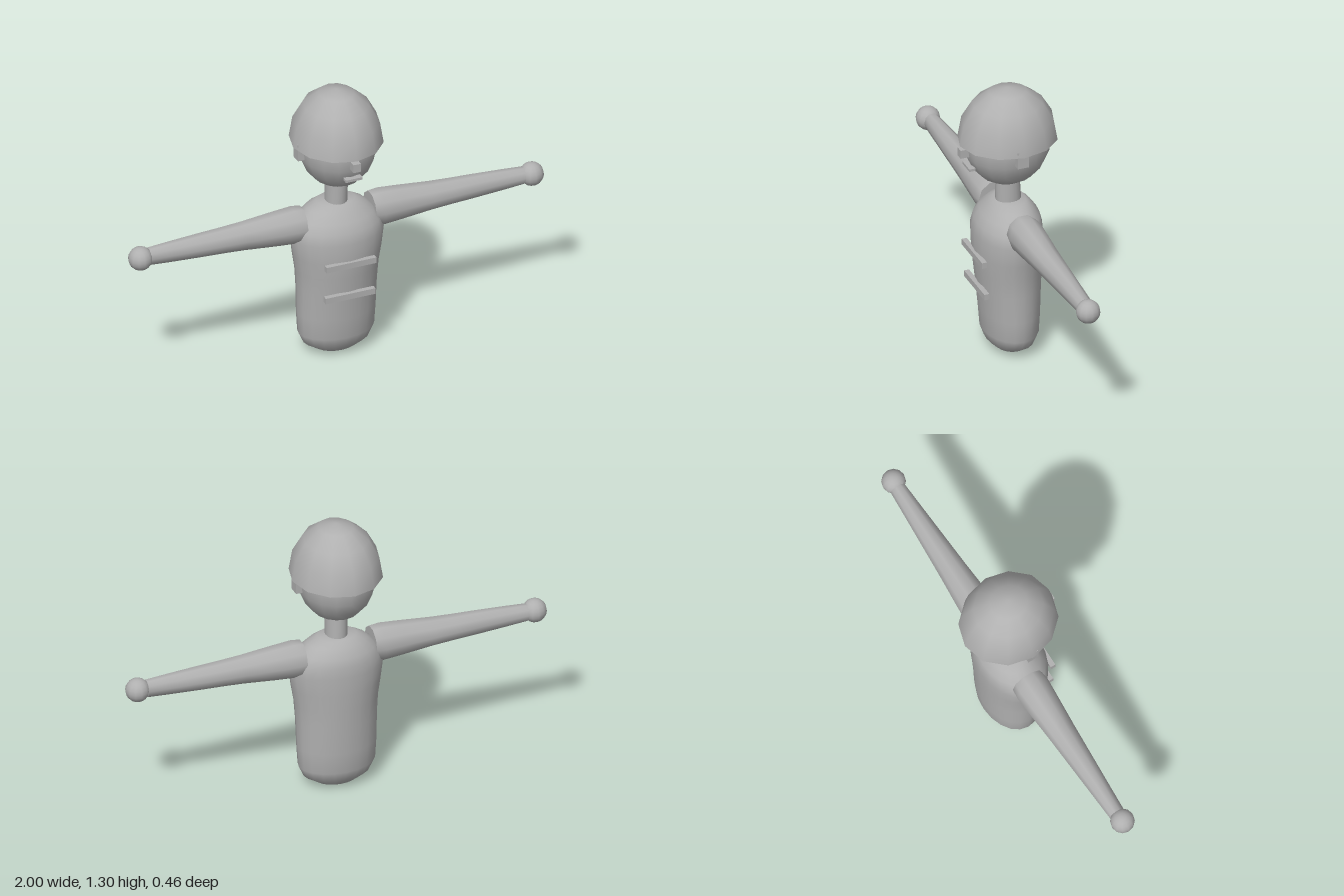
import * as THREE from 'three';

const skin = new THREE.MeshStandardMaterial({ color: 0xb0b0b0 });
skin.name = 'plain grey';

// Smooth tube along y through elliptical rings [y, rx, rz, zCentre]; a repeated ring makes a crease
function loft(rings, sides) {
  const pos = [], index = [];
  rings.forEach(([y, rx, rz, zc = 0]) => {
    for (let i = 0; i < sides; i++) {
      const a = (i / sides) * Math.PI * 2;
      pos.push(Math.sin(a) * rx, y, Math.cos(a) * rz + zc);
    }
  });
  for (let r = 0; r < rings.length - 1; r++) {
    if (rings[r].every((v, k) => v === rings[r + 1][k])) continue;
    for (let i = 0; i < sides; i++) {
      const j = (i + 1) % sides, a = r * sides, b = a + sides;
      if (rings[r][1] > 0) index.push(a + i, a + j, b + j);
      if (rings[r + 1][1] > 0) index.push(a + i, b + j, b + i);
    }
  }
  const g = new THREE.BufferGeometry();
  g.setAttribute('position', new THREE.Float32BufferAttribute(pos, 3));
  g.setIndex(index);
  g.computeVertexNormals();
  // pole points share the axis direction
  rings.forEach(([, rx], r) => {
    if (rx > 0) return;
    for (let i = 0; i < sides; i++) g.attributes.normal.setXYZ(r * sides + i, 0, r === 0 ? -1 : 1, 0);
  });
  return g;
}

export function createModel() {
  const model = new THREE.Group();
  model.name = 'figure';

  const add = (name, geometry, x = 0, y = 0, z = 0) => {
    const mesh = new THREE.Mesh(geometry, skin);
    mesh.name = name;
    mesh.position.set(x, y, z);
    model.add(mesh);
    return mesh;
  };
  const box = (name, w, h, d, x, y, z) => add(name, new THREE.BoxGeometry(w, h, d), x, y, z);

  // Torso, rounded below and at the shoulders
  add('torso', loft([
    [0, 0, 0, -0.005], [0.002, 0.05, 0.03, -0.005], [0.012, 0.095, 0.068, -0.005],
    [0.05, 0.155, 0.105, -0.005], [0.1, 0.178, 0.124, -0.006], [0.2, 0.184, 0.131, -0.005],
    [0.33, 0.187, 0.14, -0.001], [0.42, 0.193, 0.147, 0.002], [0.5, 0.206, 0.152, 0.004],
    [0.59, 0.218, 0.153, 0.004], [0.64, 0.208, 0.144, 0], [0.68, 0.182, 0.127, -0.007],
    [0.72, 0.138, 0.096, -0.01], [0.745, 0.09, 0.068, -0.01], [0.747, 0, 0, -0.01],
  ], 20));

  // Chest bars
  box('upperChestBar', 0.24, 0.028, 0.024, 0, 0.494, 0.158);
  box('lowerChestBar', 0.24, 0.028, 0.024, 0, 0.332, 0.147);

  // Neck
  add('neck', loft([[0.72, 0.05, 0.059, -0.004], [0.87, 0.05, 0.056, 0.003]], 16));

  // Head
  const head = add('head', new THREE.SphereGeometry(1, 16, 10), 0, 1.05, 0.002);
  head.scale.set(0.178, 0.22, 0.199);

  // Helmet dome with a flat underside
  const dome = [];
  for (let i = 0; i <= 4; i++) {
    const t = (i / 4) * Math.PI / 2;
    dome.push([1.05 + 0.253 * Math.sin(t), i === 4 ? 0 : 0.207 * Math.cos(t), i === 4 ? 0 : 0.227 * Math.cos(t)]);
  }
  add('helmet', loft([[1.05, 0, 0], dome[0], ...dome], 12));

  // Face
  box('nose', 0.036, 0.04, 0.05, 0, 1.017, 0.206);
  box('mouth', 0.08, 0.012, 0.03, 0, 0.941, 0.183);

  // Arms held straight out, with ball hands
  const armRings = [
    [0.165, 0, 0], [0.165, 0.082, 0.076], [0.165, 0.082, 0.076], [0.21, 0.087, 0.081], [0.3, 0.08, 0.075],
    [0.45, 0.066, 0.064], [0.55, 0.06, 0.058], [0.65, 0.056, 0.052], [0.8, 0.048, 0.043],
    [0.905, 0.041, 0.037], [0.905, 0.041, 0.037], [0.905, 0, 0],
  ];
  for (const [side, s] of [['left', 1], ['right', -1]]) {
    const arm = add(side + 'Arm', loft(armRings, 10), 0, 0.657, -0.005);
    arm.rotation.z = -s * Math.PI / 2;
    add(side + 'Hand', new THREE.SphereGeometry(0.055, 12, 10), s * 0.945, 0.657, -0.002);
    box(side + 'Ear', 0.04, 0.08, 0.052, s * 0.178, 1.035, 0.005);
  }
  return model;
}
